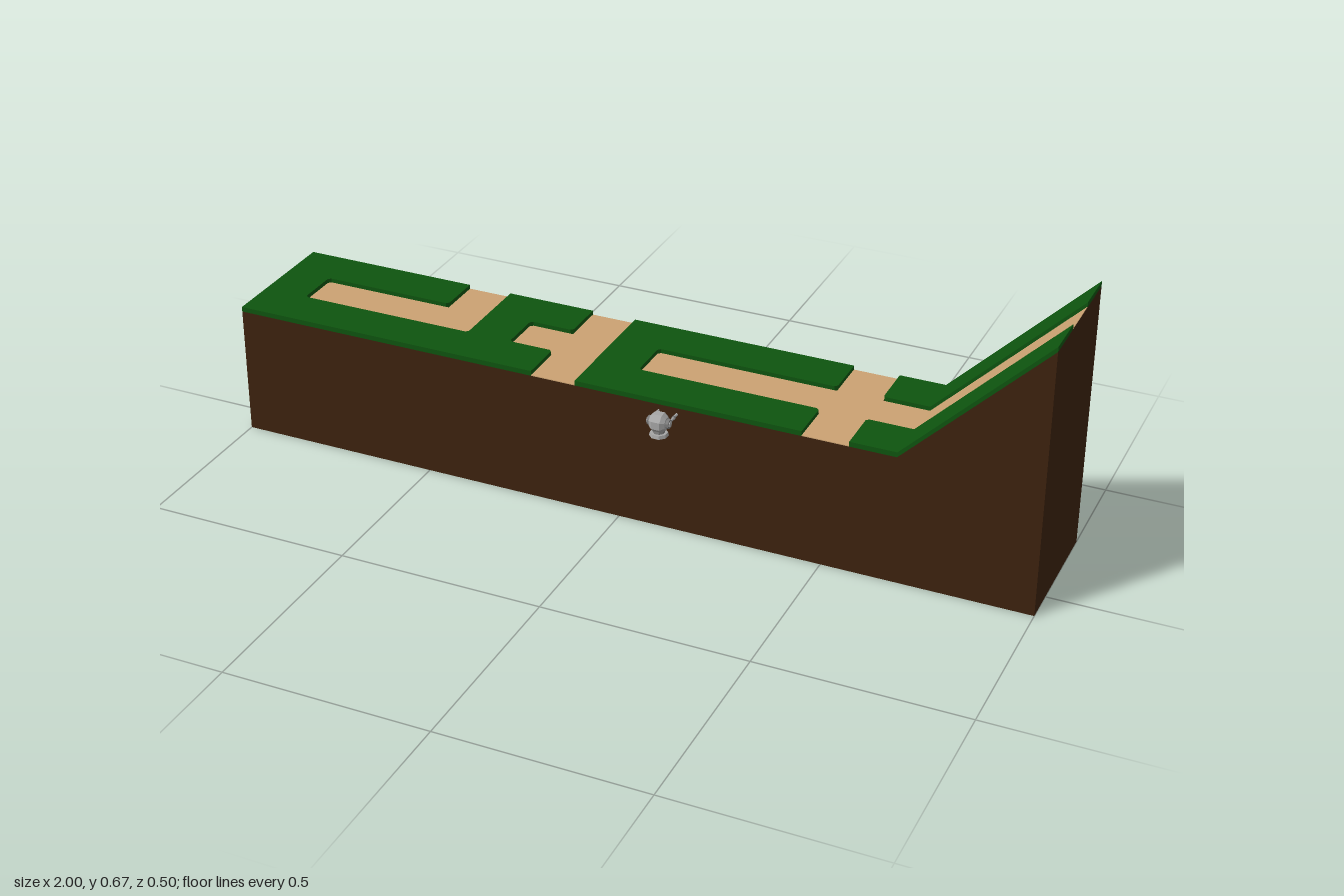
import * as THREE from 'three';

const U = 1 / 9; // one third of a tile
const Z0 = -0.25; // back edge of the strip
const PATH_Y = 0.323, TOP_Y = 1 / 3;

export function createModel() {
  const model = new THREE.Group();
  const mat = (name, color) => {
    const m = new THREE.MeshStandardMaterial({ color, flatShading: true });
    m.name = name;
    return m;
  };
  const earth = mat('earth brown', 0x3d220e);
  const grass = mat('grass green', 0x0e540f);
  const sand = mat('path sand', 0xcba272);
  const steel = mat('light steel', 0xa6a6a6);
  const darkSteel = mat('dark steel', 0x7c7c7c);

  const add = (parent, name, geometry, material, x = 0, y = 0, z = 0) => {
    const mesh = new THREE.Mesh(geometry, material);
    mesh.name = name;
    mesh.position.set(x, y, z);
    parent.add(mesh);
    return mesh;
  };
  const extrude = (pts, depth) => new THREE.ExtrudeGeometry(
    new THREE.Shape(pts.map(([x, y]) => new THREE.Vector2(x, y))), { depth, bevelEnabled: false });

  // Earth body with the ramp at its left end
  const low = PATH_Y - 0.002;
  add(model, 'earthBody', extrude([
    [-1, 0], [1, 0], [1, low + 3 * U], [6 * U, low], [-1, low],
  ], 3 * U), earth, 0, 0, Z0);

  // Sunken path plates: [x0, x1, z0, z1] in thirds of a tile
  [
    [-8, -4, 1, 2], [-5, -4, 0, 1],
    [-2, -1, 0, 3], [-3, -2, 1, 2],
    [0, 6, 1, 2], [4, 5, 0, 1], [4, 5, 2, 3],
  ].forEach(([x0, x1, z0, z1]) => add(model, 'path',
    new THREE.BoxGeometry((x1 - x0) * U, 0.002, (z1 - z0) * U), sand,
    (x0 + x1) / 2 * U, PATH_Y - 0.001, Z0 + (z0 + z1) / 2 * U));

  // Raised turf outlines, with the corners along the path slightly cut
  const cutCorners = (pts) => pts.flatMap((p, i) => {
    if (p[1] === 0 || p[1] === 3 || p[0] === 6) return [p];
    const step = (q) => p.map((c, k) => c + Math.sign(q[k] - c) * 0.06);
    return [step(pts[(i + pts.length - 1) % pts.length]), step(pts[(i + 1) % pts.length])];
  });
  [
    [[-9, 0], [-5, 0], [-5, 1], [-8, 1], [-8, 2], [-4, 2], [-4, 0], [-2, 0],
      [-2, 1], [-3, 1], [-3, 2], [-2, 2], [-2, 3], [-9, 3]],
    [[-1, 0], [4, 0], [4, 1], [0, 1], [0, 2], [4, 2], [4, 3], [-1, 3]],
    [[5, 0], [6, 0], [6, 1], [5, 1]],
    [[5, 2], [6, 2], [6, 3], [5, 3]],
  ].forEach((outline) => {
    const g = extrude(cutCorners(outline).map(([u, v]) => [u * U, -v * U]), TOP_Y - low);
    add(model, 'turf', g.rotateX(-Math.PI / 2), grass, 0, low, Z0);
  });

  // Ramp surface: turf on both sides of the path
  const rampStrip = (name, material, top, row) => add(model, name, extrude([
    [6 * U, low], [1, low + 3 * U], [1, top + 3 * U], [6 * U, top],
  ], U), material, 0, 0, Z0 + row * U);
  rampStrip('rampTurf', grass, TOP_Y, 0);
  rampStrip('rampPath', sand, PATH_Y, 1);
  rampStrip('rampTurf', grass, TOP_Y, 2);

  // Small turret with twin barrels aimed at the strip
  const turret = new THREE.Group();
  turret.name = 'turret';
  turret.position.set(0.165, TOP_Y, 0.229);
  model.add(turret);
  const drum = (r1, r2, h, sides = 8) =>
    new THREE.CylinderGeometry(r1, r2, h, sides).rotateY(Math.PI / sides);
  add(turret, 'turretBase', drum(0.02, 0.022, 0.008), steel, 0, 0.004, 0);
  add(turret, 'turretNeck', drum(0.012, 0.014, 0.01), darkSteel, 0, 0.012, 0);

  // Eight-sided head, turned about the x axis
  const head = new THREE.LatheGeometry([
    [0, -0.019], [0.015, -0.019], [0.0235, -0.01], [0.0235, 0.01], [0.015, 0.019], [0, 0.019],
  ].map(([r, y]) => new THREE.Vector2(r, y)), 8);
  head.rotateY(Math.PI / 8).rotateZ(Math.PI / 2);
  add(turret, 'turretHead', head, steel, 0, 0.033, 0);

  for (const s of [-1, 1]) {
    add(turret, 'sidePivot', drum(0.011, 0.011, 0.008).rotateZ(Math.PI / 2), darkSteel, s * 0.022, 0.033, 0);
    add(turret, 'pivotCap', drum(0.007, 0.007, 0.003).rotateZ(Math.PI / 2), steel, s * 0.0265, 0.033, 0);
    add(turret, 'barrel', drum(0.003, 0.003, 0.04).rotateX(Math.PI / 2), steel, s * 0.022, 0.033, -0.027);
    add(turret, 'barrelCollar', drum(0.0045, 0.0045, 0.005).rotateX(Math.PI / 2), darkSteel, s * 0.022, 0.033, -0.03);
  }
  return model;
}
